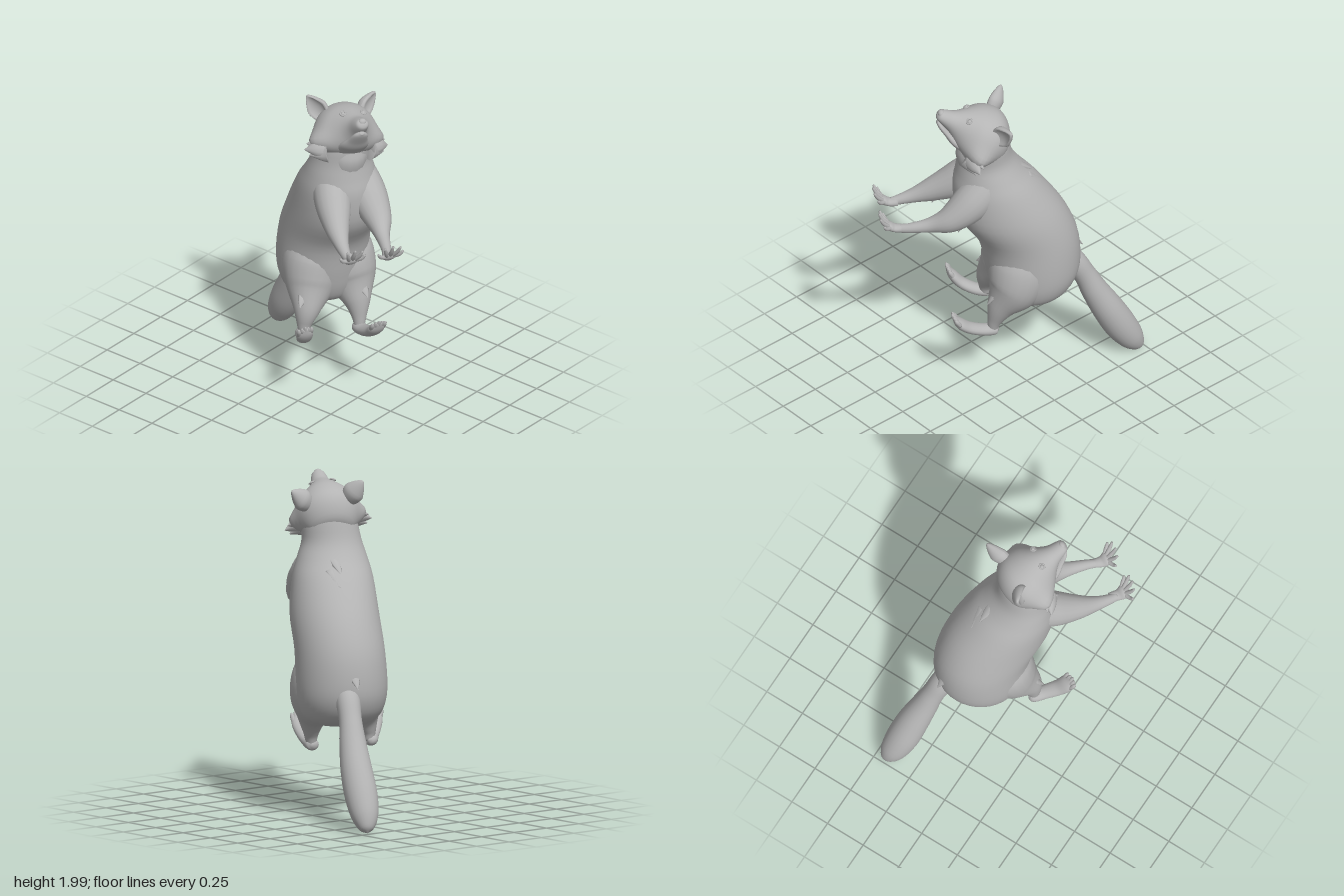
import * as THREE from 'three';

const V = (x, y, z) => new THREE.Vector3(x, y, z);
const LEFT = V(0.89, 0, 0.45).normalize();      // the animal's own left
const AHEAD = V(-0.45, 0, 0.89).normalize();    // the way its chest faces

const fur = new THREE.MeshStandardMaterial({ color: 0xb4b4b4 });
fur.name = 'greyFur';

const spline = pts => new THREE.CatmullRomCurve3(pts, false, 'catmullrom');

// Closed smooth skin over elliptical rings {c, u, v}; u x v points along the travel
function loft(name, rings, seg = 28, bend = p => p) {
  const pos = [], idx = [], n = rings.length;
  for (const { c, u, v } of rings) {
    for (let j = 0; j < seg; j++) {
      const a = (j / seg) * Math.PI * 2;
      pos.push(...bend(c.clone().addScaledVector(u, Math.cos(a)).addScaledVector(v, Math.sin(a))).toArray());
    }
  }
  for (let i = 0; i < n - 1; i++) {
    for (let j = 0; j < seg; j++) {
      const a = i * seg + j, b = i * seg + (j + 1) % seg;
      idx.push(a, b, b + seg, a, b + seg, a + seg);
    }
  }
  const first = n * seg, last = (n - 1) * seg;
  pos.push(...rings[0].c.toArray(), ...rings[n - 1].c.toArray());
  for (let j = 0; j < seg; j++) {
    const k = (j + 1) % seg;
    idx.push(first, k, j, first + 1, last + j, last + k);
  }
  const g = new THREE.BufferGeometry();
  g.setAttribute('position', new THREE.Float32BufferAttribute(pos, 3));
  g.setIndex(idx);
  g.computeVertexNormals();
  const mesh = new THREE.Mesh(g, fur);
  mesh.name = name;
  return mesh;
}

// Tapered limb through points [x, y, z, radius, flatness]
function limb(name, pts, steps = 28, seg = 18, side = LEFT) {
  const path = spline(pts.map(p => V(p[0], p[1], p[2])));
  const size = spline(pts.map(p => V(p[3], p[4] ?? 1, 0)));
  const rings = [];
  for (let i = 0; i <= steps; i++) {
    const t = i / steps, w = path.getTangent(t), s = size.getPoint(t);
    const r = Math.max(s.x, 0.001);
    const u = side.clone().addScaledVector(w, -side.dot(w)).normalize();
    const v = w.clone().cross(u).multiplyScalar(r * s.y);
    rings.push({ c: path.getPoint(t), u: u.multiplyScalar(r), v });
  }
  return loft(name, rings, seg);
}

// Small pointed lock of fur
const tuft = (name, a, b, r) => {
  const m = a.map((n, i) => (n + b[i]) / 2);
  return limb(name, [[...a, r, 0.4], [...m, r * 0.65, 0.4], [...b, 0.001, 0.4]], 6, 8);
};

// Torso and neck: [y, centre x, centre z, half width, half depth]
function torso() {
  const rows = [
    [0.55, 0.13, -0.11, 0.03, 0.03], [0.56, 0.13, -0.115, 0.14, 0.13], [0.6, 0.135, -0.125, 0.215, 0.21],
    [0.68, 0.14, -0.135, 0.255, 0.26], [0.8, 0.14, -0.135, 0.27, 0.287], [1.0, 0.13, -0.105, 0.266, 0.298],
    [1.2, 0.09, -0.01, 0.262, 0.318], [1.4, 0.045, 0.06, 0.24, 0.262], [1.52, 0.02, 0.095, 0.208, 0.2],
    [1.62, 0.008, 0.115, 0.178, 0.162], [1.74, 0.015, 0.135, 0.168, 0.15], [1.84, 0.025, 0.13, 0.13, 0.12],
  ];
  const centre = spline(rows.map(r => V(r[1], r[0], r[2]))), size = spline(rows.map(r => V(r[3], r[4], 0)));
  const rings = [];
  for (let i = 0; i <= 44; i++) {
    const s = size.getPoint(i / 44);
    rings.push({ c: centre.getPoint(i / 44), u: AHEAD.clone().multiplyScalar(s.y), v: LEFT.clone().multiplyScalar(s.x) });
  }
  return loft('torso', rings, 40);
}

// Skull, jaw, ears and face in a frame with +z along the snout
function head() {
  const g = new THREE.Group();
  g.name = 'head';
  const section = (name, rows, seg, bend) => {
    const c = spline(rows.map(r => V(0, (r[2] + r[3]) / 2, r[0])));
    const s = spline(rows.map(r => V(r[1], (r[2] - r[3]) / 2, 0)));
    const rings = [];
    for (let i = 0; i <= 32; i++) {
      const q = s.getPoint(i / 32);
      rings.push({ c: c.getPoint(i / 32), u: V(Math.max(q.x, 0.001), 0, 0), v: V(0, Math.max(q.y, 0.001), 0) });
    }
    g.add(loft(name, rings, seg, bend));
  };
  // Skull widened low down into the cheeks: [z, half width, top, bottom]
  section('skull', [
    [-0.17, 0.04, 0.02, -0.06], [-0.15, 0.12, 0.085, -0.12], [-0.09, 0.165, 0.145, -0.15], [-0.02, 0.182, 0.17, -0.155],
    [0.06, 0.165, 0.155, -0.145], [0.12, 0.122, 0.127, -0.125], [0.17, 0.085, 0.094, -0.09], [0.22, 0.06, 0.062, -0.06],
    [0.28, 0.046, 0.045, -0.038], [0.31, 0.034, 0.034, -0.024], [0.32, 0.008, 0.01, -0.005],
  ], 40, p => {
    p.x *= 1 + 0.46 * Math.exp(-(((p.z - 0.01) / 0.085) ** 2) - ((p.y + 0.085) / 0.08) ** 2);
    return p;
  });
  section('lowerJaw', [
    [0.05, 0.1, -0.06, -0.15], [0.14, 0.086, -0.06, -0.13], [0.2, 0.062, -0.05, -0.102],
    [0.26, 0.042, -0.036, -0.074], [0.288, 0.012, -0.036, -0.056],
  ], 20);
  const part = (name, geometry, x, y, z) => {
    const m = new THREE.Mesh(geometry, fur);
    m.name = name;
    m.position.set(x, y, z);
    g.add(m);
    return m;
  };
  part('nose', new THREE.SphereGeometry(0.025, 18, 12), 0, 0.02, 0.306).scale.set(1, 0.8, 0.75);
  for (const s of [-1, 1]) {
    part('eye', new THREE.SphereGeometry(0.014, 16, 12), s * 0.063, 0.083, 0.153);
    part('eyelid', new THREE.TorusGeometry(0.016, 0.005, 8, 18), s * 0.063, 0.086, 0.157).lookAt(s * 0.3, 0.5, 0.65);
    // Ear: flattened pointed egg with its front pressed in to make a cup
    const e = new THREE.SphereGeometry(1, 24, 18), p = e.attributes.position;
    for (let i = 0; i < p.count; i++) {
      const x = p.getX(i), y = p.getY(i), z = p.getZ(i), taper = y > 0 ? 1 - 0.5 * y : 1;
      p.setXYZ(i, x * 0.066 * taper, y * 0.094, (z > 0.45 ? 0.9 - z : z) * 0.05 * taper);
    }
    e.computeVertexNormals();
    part('ear', e, s * 0.158, 0.146, -0.03).rotation.set(0, s * 0.85, -s * 0.62, 'ZXY');
    // Cheek ruff
    for (const t of [[0.262, -0.1, -0.02], [0.245, -0.065, -0.02], [0.235, -0.135, -0.02]]) {
      g.add(limb('cheekRuff', [[s * 0.14, t[1] * 0.6 - 0.04, 0.02, 0.07, 0.7],
        [s * (t[0] - 0.06), t[1] * 0.8 - 0.02, 0.005, 0.045, 0.7], [s * t[0], t[1], t[2], 0.001, 0.7]], 10, 12, V(0, 1, 0)));
    }
  }
  const X = V(0.84, -0.12, 0.53).normalize(), Z = V(-0.4, 0.56, 0.73);
  Z.addScaledVector(X, -X.dot(Z)).normalize();
  g.applyMatrix4(new THREE.Matrix4().makeBasis(X, Z.clone().cross(X), Z));
  g.position.set(0.01, 1.79, 0.15);
  return g;
}

// Hand with a flat palm and five spread fingers
function hand(name, dx, dy, dz) {
  const g = new THREE.Group();
  g.name = name;
  g.add(limb('palm', [[-0.16, 1.203, 0.6, 0.024], [-0.2, 1.205, 0.642, 0.035, 0.65],
    [-0.22, 1.225, 0.67, 0.042, 0.5], [-0.232, 1.245, 0.685, 0.01, 0.5]], 14));
  const tips = [[-0.298, 1.26, 0.65], [-0.28, 1.305, 0.69], [-0.247, 1.318, 0.722], [-0.207, 1.308, 0.745], [-0.177, 1.268, 0.74]];
  tips.forEach((t, i) => {
    const k = (i - 2) * 0.012, b = [-0.218 + k, 1.222, 0.668 + k * 0.5];
    const m = b.map((n, j) => n * 0.35 + t[j] * 0.65 - (j === 1 ? 0.01 : 0));
    g.add(limb('finger', [[...b, 0.014], [...m, 0.012], [...t, 0.007]], 8, 8));
  });
  g.position.set(dx, dy, dz);
  return g;
}

// Upturned foot with toes, from heel to toe base
function foot(name, pts) {
  const g = new THREE.Group();
  g.name = name;
  g.add(limb('sole', pts, 24));
  const [end, tip] = pts.slice(-2).map(p => V(p[0], p[1], p[2]));
  const dir = tip.sub(end);
  for (let i = -2; i <= 2; i++) {
    const a = end.clone().addScaledVector(LEFT, i * 0.018);
    const b = a.clone().addScaledVector(dir, 1.3 - Math.abs(i) * 0.15).addScaledVector(LEFT, i * 0.003);
    g.add(limb('toe', [[...a, 0.014], [...a.clone().lerp(b, 0.65), 0.014], [...b, 0.005]], 8, 8));
  }
  return g;
}

export function createModel() {
  const model = new THREE.Group();
  model.name = 'animal';
  model.add(
    torso(), head(),
    limb('throat', [[0.01, 1.46, 0.12, 0.1], [0, 1.58, 0.145, 0.13], [-0.015, 1.7, 0.18, 0.118], [-0.035, 1.81, 0.23, 0.03]]),
    limb('leftArm', [[0.06, 1.62, 0.08, 0.07], [0.085, 1.49, 0.14, 0.12], [0.07, 1.375, 0.26, 0.118], [0.02, 1.275, 0.385, 0.085],
      [-0.055, 1.23, 0.48, 0.047], [-0.13, 1.208, 0.57, 0.031], [-0.18, 1.2, 0.62, 0.026]], 36),
    limb('rightArm', [[-0.03, 1.62, 0.06, 0.07], [-0.055, 1.49, 0.09, 0.112], [-0.15, 1.375, 0.185, 0.108], [-0.25, 1.295, 0.295, 0.075],
      [-0.32, 1.25, 0.385, 0.046], [-0.37, 1.225, 0.46, 0.031], [-0.395, 1.215, 0.505, 0.026]], 36),
    hand('leftHand', 0, 0, 0), hand('rightHand', -0.2, 0.015, -0.125),
    limb('leftLeg', [[0.14, 1.1, -0.06, 0.09], [0.165, 0.95, -0.04, 0.16], [0.18, 0.82, -0.015, 0.188], [0.182, 0.69, 0.04, 0.165],
      [0.155, 0.57, 0.115, 0.09], [0.135, 0.47, 0.15, 0.046], [0.125, 0.4, 0.16, 0.03]], 36, 24),
    limb('rightLeg', [[0.09, 1.1, -0.08, 0.09], [0.05, 0.95, -0.095, 0.16], [0.015, 0.82, -0.1, 0.185], [-0.045, 0.69, -0.075, 0.155],
      [-0.125, 0.57, -0.035, 0.085], [-0.155, 0.48, -0.03, 0.046], [-0.16, 0.42, -0.03, 0.03]], 36, 24),
    foot('leftFoot', [[0.14, 0.395, 0.125, 0.01], [0.13, 0.398, 0.145, 0.04, 0.85], [0.1, 0.412, 0.22, 0.044, 0.75],
      [0.07, 0.45, 0.3, 0.048, 0.65], [0.05, 0.5, 0.355, 0.05, 0.55], [0.035, 0.55, 0.385, 0.02, 0.5]]),
    foot('rightFoot', [[-0.14, 0.42, -0.06, 0.01], [-0.16, 0.42, -0.045, 0.04, 0.85], [-0.21, 0.432, 0.01, 0.044, 0.75],
      [-0.27, 0.47, 0.065, 0.048, 0.65], [-0.31, 0.525, 0.1, 0.05, 0.55], [-0.33, 0.575, 0.12, 0.02, 0.5]]),
    limb('tail', [[0.2, 0.9, -0.2, 0.05], [0.262, 0.76, -0.33, 0.072], [0.3, 0.63, -0.405, 0.068], [0.328, 0.5, -0.46, 0.08],
      [0.36, 0.35, -0.532, 0.094], [0.385, 0.21, -0.605, 0.097], [0.41, 0.1, -0.668, 0.08],
      [0.43, 0.035, -0.708, 0.045], [0.437, 0.01, -0.722, 0.004]], 44, 24),
  );
  // Loose locks of fur on the back, rump, elbows and knees
  const locks = [
    ['backTuft', [0.12, 1.54, -0.03], [0.15, 1.45, -0.145], 0.04], ['backTuft', [0.17, 1.47, -0.07], [0.185, 1.38, -0.18], 0.04],
    ['rumpTuft', [0.24, 0.92, -0.35], [0.26, 0.81, -0.43], 0.045],
    ['elbowTuft', [0.03, 1.23, 0.36], [0.01, 1.165, 0.4], 0.03], ['elbowTuft', [0.06, 1.24, 0.32], [0.045, 1.17, 0.36], 0.03],
    ['elbowTuft', [-0.24, 1.25, 0.28], [-0.25, 1.195, 0.31], 0.03],
    ['kneeTuft', [0.15, 0.67, 0.17], [0.14, 0.61, 0.215], 0.03], ['kneeTuft', [-0.17, 0.67, -0.03], [-0.22, 0.62, -0.01], 0.03],
  ];
  for (const l of locks) model.add(tuft(...l));
  return model;
}
